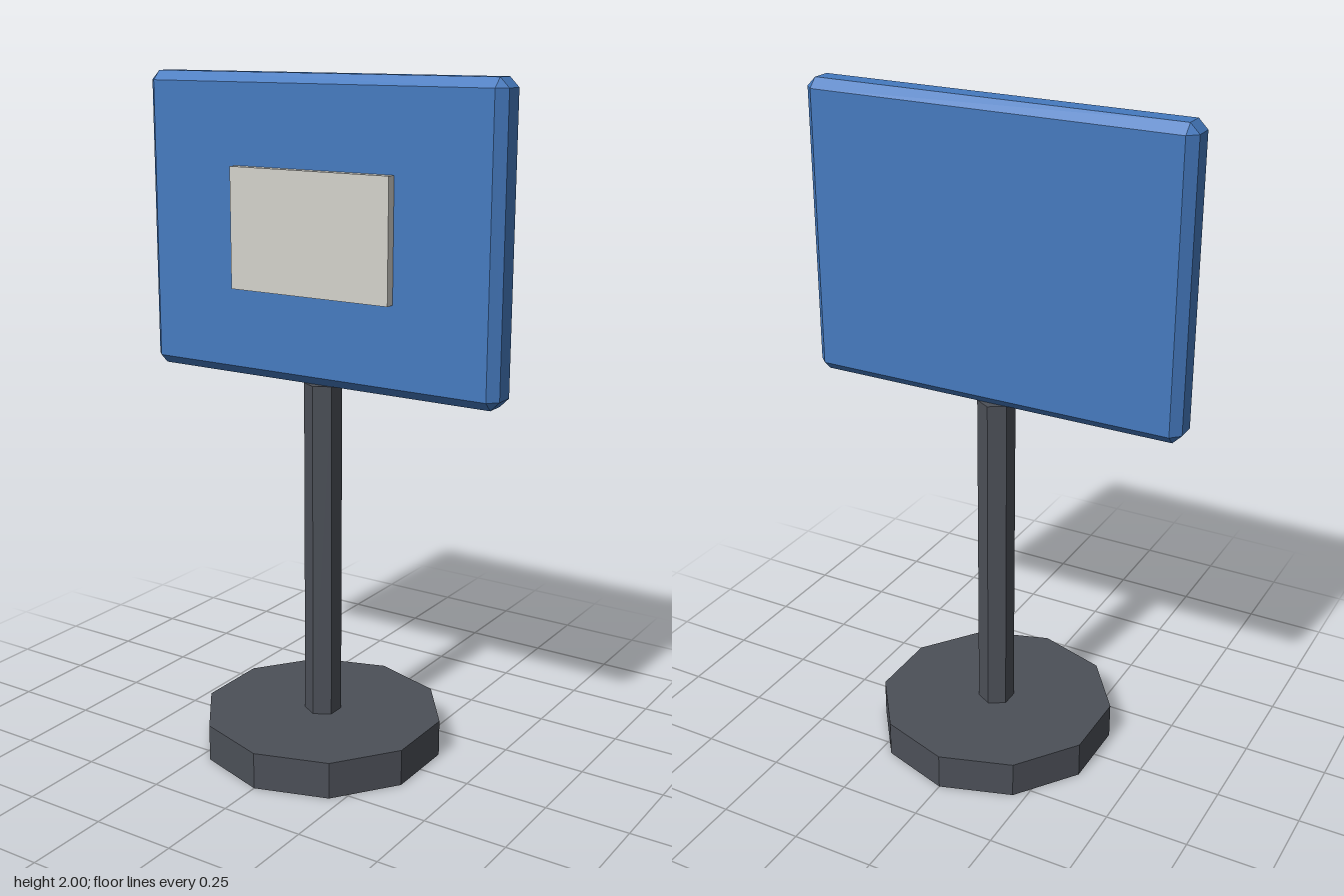
import * as THREE from 'three';
import { ConvexGeometry } from 'three/addons/geometries/ConvexGeometry.js';

function material(name, color) {
  const m = new THREE.MeshStandardMaterial({ color });
  m.name = name;
  return m;
}

// Box with every edge cut by a flat chamfer
function chamferedBox(w, h, d, c) {
  const half = [w / 2, h / 2, d / 2];
  const points = [];
  for (const sx of [-1, 1]) for (const sy of [-1, 1]) for (const sz of [-1, 1]) {
    for (let axis = 0; axis < 3; axis++) {
      const [x, y, z] = half.map((v, i) => (i === axis ? v : v - c));
      points.push(new THREE.Vector3(sx * x, sy * y, sz * z));
    }
  }
  return new ConvexGeometry(points);
}

export function createModel() {
  const model = new THREE.Group();
  model.name = 'signPost';

  const darkGrey = material('dark grey metal', 0x4c5058);
  const blue = material('blue paint', 0x457abf);
  const paleGrey = material('pale grey', 0xd3d2cb);

  const add = (name, geometry, mat, y, z = 0) => {
    const mesh = new THREE.Mesh(geometry, mat);
    mesh.name = name;
    mesh.position.set(0, y, z);
    model.add(mesh);
  };

  // Ten-sided foot
  add('base', new THREE.CylinderGeometry(0.362, 0.362, 0.11, 10).toNonIndexed(), darkGrey, 0.055);
  // Six-sided pole
  add('pole', new THREE.CylinderGeometry(0.055, 0.055, 1.02, 6).toNonIndexed(), darkGrey, 0.62);
  // Chamfered board
  add('board', chamferedBox(1.16, 0.87, 0.11, 0.027), blue, 1.565);
  // Raised plate on the front of the board
  add('frontPlate', new THREE.BoxGeometry(0.524, 0.35, 0.04), paleGrey, 1.566, 0.063);

  // Flat facets on the foot and the pole
  for (const name of ['base', 'pole']) model.getObjectByName(name).geometry.computeVertexNormals();

  return model;
}
